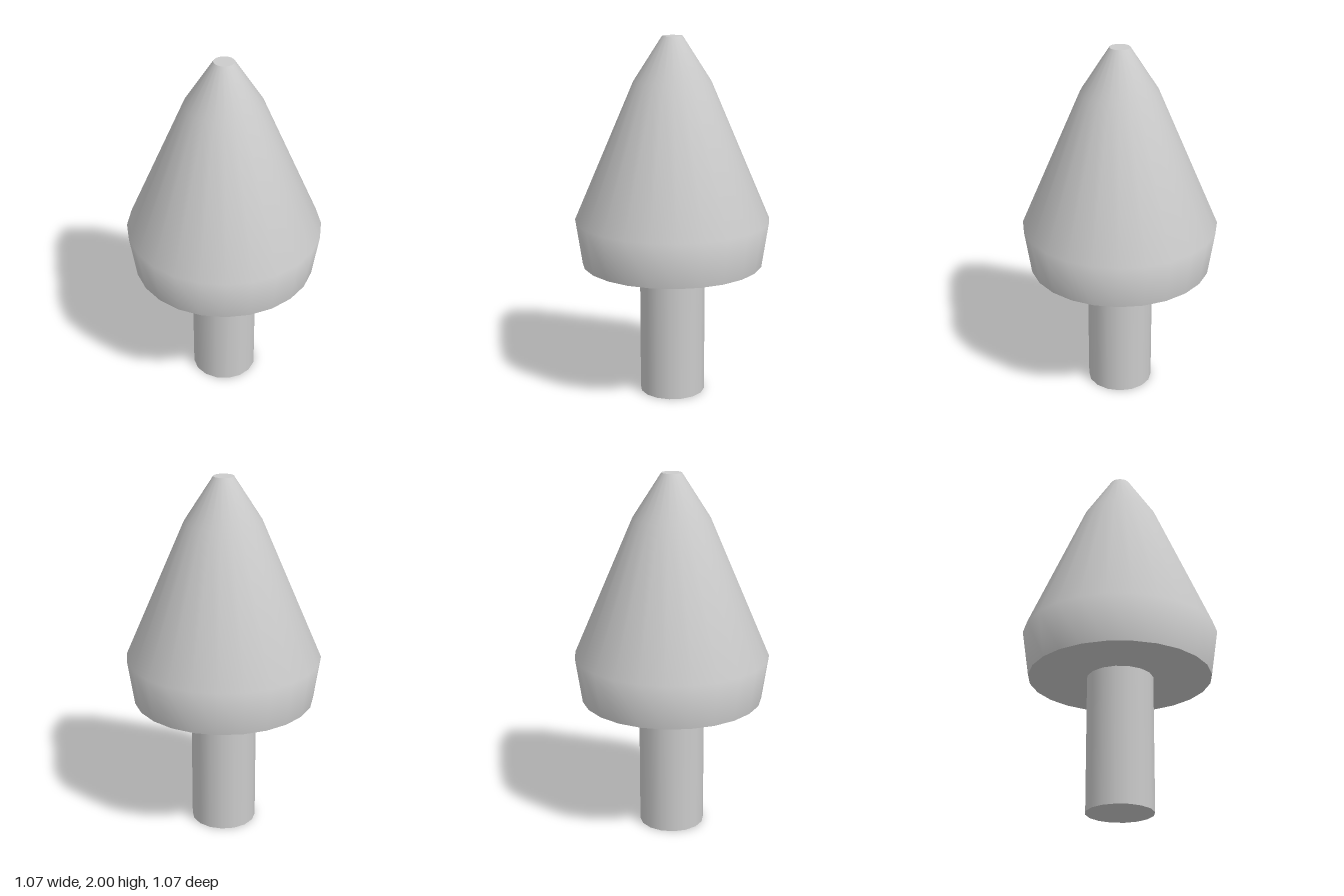
import * as THREE from 'three';

const SIDES = 24;
const material = new THREE.MeshStandardMaterial({ color: 0xcccccc });

function addMesh(parent, name, geometry, y = 0) {
  const mesh = new THREE.Mesh(geometry, material);
  mesh.name = name;
  mesh.position.y = y;
  parent.add(mesh);
  return mesh;
}

// Flat disc whose corners line up with the lathe, facing up or down
function disc(radius, up) {
  return new THREE.CircleGeometry(radius, SIDES).rotateX(up ? -Math.PI / 2 : Math.PI / 2);
}

export function createModel() {
  const model = new THREE.Group();
  model.name = 'tree';

  // Trunk
  const trunkHeight = 0.75;
  addMesh(model, 'trunk', new THREE.CylinderGeometry(0.182, 0.182, trunkHeight, 16), trunkHeight / 2);

  // Crown: smooth tapered shell closed by flat ends
  const crown = new THREE.Group();
  crown.name = 'crown';
  model.add(crown);
  const profile = [[0.5, 0.75], [0.537, 1], [0.21, 1.76], [0.055, 2]]
    .map(([r, y]) => new THREE.Vector2(r, y));
  addMesh(crown, 'crownShell', new THREE.LatheGeometry(profile, SIDES));
  addMesh(crown, 'crownUnderside', disc(0.5, false), 0.75);
  addMesh(crown, 'crownTip', disc(0.055, true), 2);

  return model;
}
